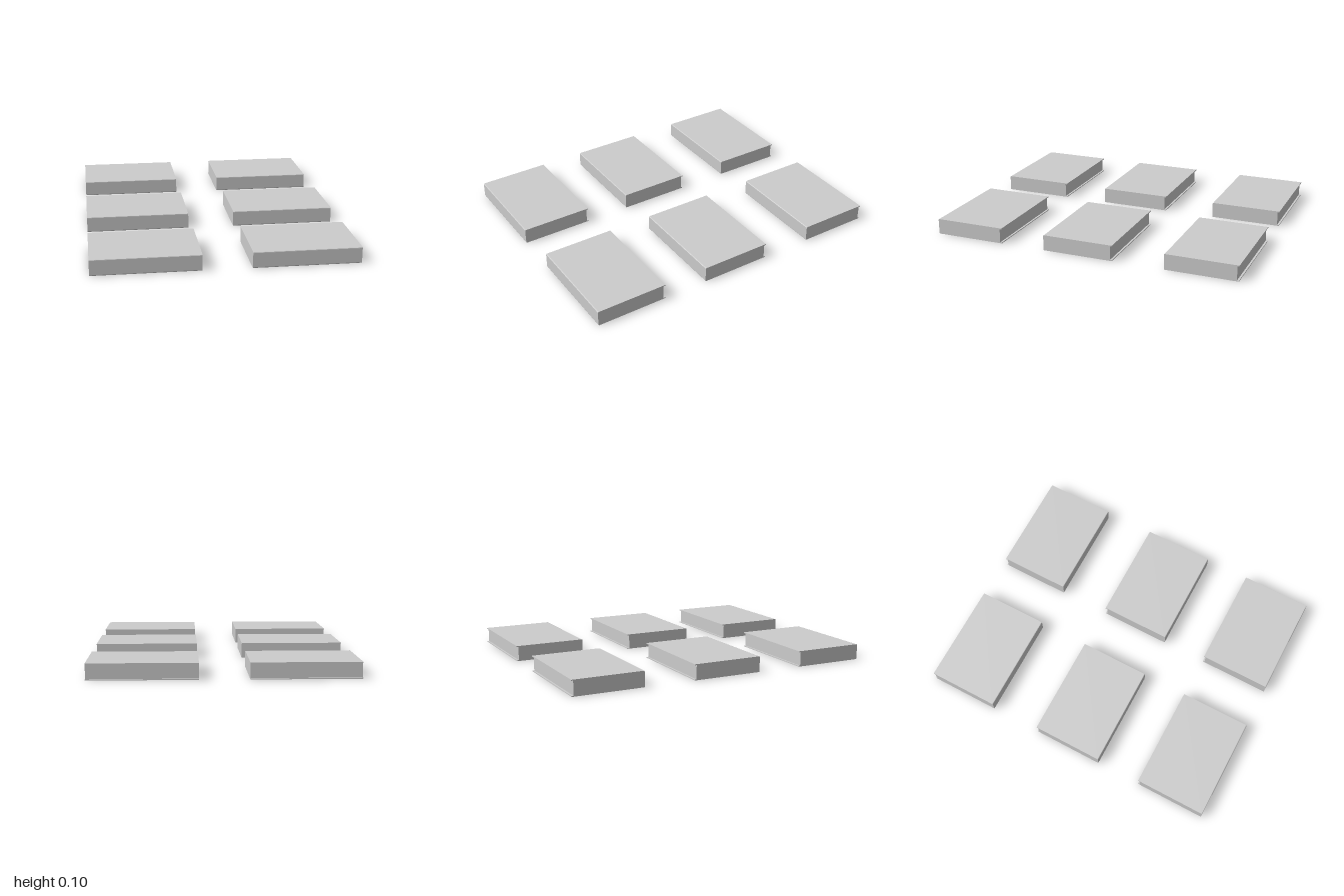
import * as THREE from 'three';

const WIDTH = 0.657;   // along the spine
const DEPTH = 0.458;   // spine to fore edge
const HEIGHT = 0.1;
const BOARD = 0.006;   // cover thickness
const LIP = 0.012;     // cover overhang at the fore edge
const BEVEL = 0.006;   // softened spine corners

// U-shaped cover section: spine at +depth, open at the fore edge
function coverGeometry() {
  const d = DEPTH / 2;
  const s = new THREE.Shape();
  s.moveTo(-d, 0);
  s.lineTo(d - BEVEL, 0);
  s.quadraticCurveTo(d, 0, d, BEVEL);
  s.lineTo(d, HEIGHT - BEVEL);
  s.quadraticCurveTo(d, HEIGHT, d - BEVEL, HEIGHT);
  s.lineTo(-d, HEIGHT);
  s.lineTo(-d, HEIGHT - BOARD);
  s.lineTo(d - BOARD, HEIGHT - BOARD);
  s.lineTo(d - BOARD, BOARD);
  s.lineTo(-d, BOARD);
  s.closePath();
  const g = new THREE.ExtrudeGeometry(s, { depth: WIDTH, bevelEnabled: false, curveSegments: 3 });
  g.translate(0, 0, -WIDTH / 2);
  g.rotateY(-Math.PI / 2);
  return g;
}

// Page block filling the cover, set back from the fore edge
function pagesGeometry() {
  const depth = DEPTH - BOARD - LIP;
  const g = new THREE.BoxGeometry(WIDTH, HEIGHT - 2 * BOARD, depth);
  g.translate(0, HEIGHT / 2, (LIP - BOARD) / 2);
  return g;
}

export function createModel() {
  const model = new THREE.Group();
  model.name = 'books';
  const material = new THREE.MeshStandardMaterial({ color: 0xcccccc, flatShading: true });
  const coverGeo = coverGeometry();
  const pagesGeo = pagesGeometry();

  // Two columns of three books
  for (const x of [-0.477, 0.477]) {
    for (const z of [-0.771, 0.02, 0.771]) {
      const book = new THREE.Group();
      book.name = 'book';
      const cover = new THREE.Mesh(coverGeo, material);
      cover.name = 'cover';
      const pages = new THREE.Mesh(pagesGeo, material);
      pages.name = 'pages';
      book.add(cover, pages);
      book.position.set(x, 0, z);
      model.add(book);
    }
  }
  return model;
}
